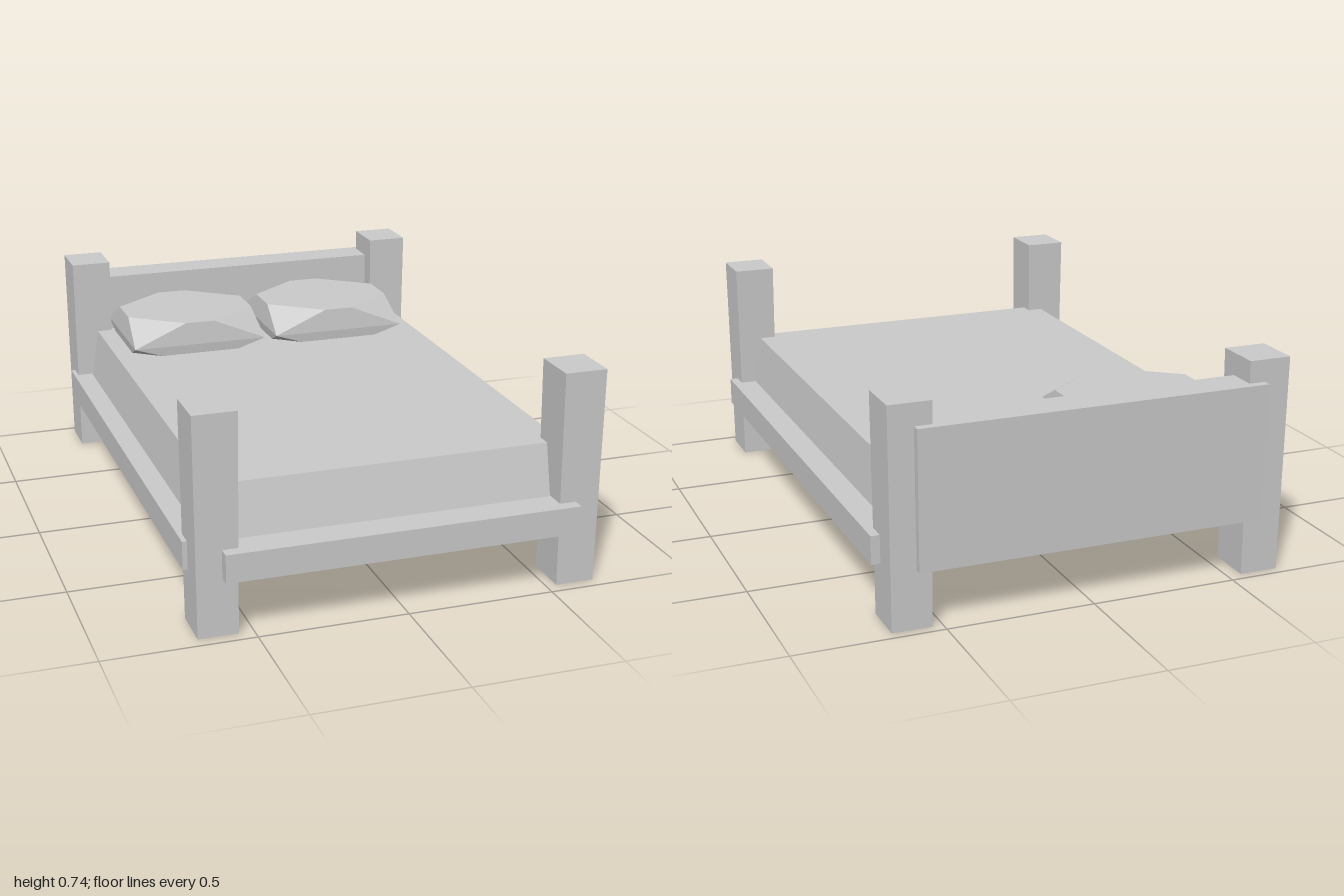
import * as THREE from 'three';
import { ConvexGeometry } from 'three/addons/geometries/ConvexGeometry.js';

const material = new THREE.MeshStandardMaterial({
  color: 0xcccccc, flatShading: true, side: THREE.DoubleSide,
});

// Tapered block without an underside; top and bottom are [x0, x1, z0, z1]
function block(name, y0, y1, bottom, top = bottom) {
  const geometry = new THREE.BoxGeometry(1, 1, 1).toNonIndexed();
  const p = geometry.attributes.position;
  for (let i = 0; i < p.count; i++) {
    const up = p.getY(i) > 0;
    const r = up ? top : bottom;
    p.setXYZ(i, r[p.getX(i) > 0 ? 1 : 0], up ? y1 : y0, r[p.getZ(i) > 0 ? 3 : 2]);
  }
  // Leave out the fourth face (the underside, vertices 18 to 23)
  for (const key of Object.keys(geometry.attributes)) {
    const a = geometry.attributes[key];
    const kept = Array.from(a.array).filter((_, i) => {
      const v = Math.floor(i / a.itemSize);
      return v < 18 || v > 23;
    });
    geometry.setAttribute(key, new THREE.Float32BufferAttribute(kept, a.itemSize));
  }
  geometry.clearGroups();
  geometry.computeVertexNormals();
  const mesh = new THREE.Mesh(geometry, material);
  mesh.name = name;
  return mesh;
}

// Faceted cushion: an octagon above and below, with four pinched corners between
function pillow(name, x, z) {
  const points = [];
  for (const sx of [-1, 1]) {
    for (const sz of [-1, 1]) {
      points.push(new THREE.Vector3(sx * 0.252, 0.497, sz * 0.225));
      for (const y of [0.43, 0.58]) {
        points.push(new THREE.Vector3(sx * 0.054, y, sz * 0.218));
        points.push(new THREE.Vector3(sx * 0.241, y, sz * 0.073));
      }
    }
  }
  const mesh = new THREE.Mesh(new ConvexGeometry(points), material);
  mesh.name = name;
  mesh.position.set(x, 0, z);
  return mesh;
}

export function createModel() {
  const bed = new THREE.Group();
  bed.name = 'bed';

  // Corner posts, slightly wider at the top
  for (const [side, x] of [['Right', -0.616], ['Left', 0.602]]) {
    for (const [end, z] of [['front', 0.88], ['back', -0.89]]) {
      const rect = (w, d) => [x - w, x + w, z - d, z + d];
      bed.add(block(`${end}${side}Post`, 0, 0.735, rect(0.066, 0.077), rect(0.072, 0.082)));
    }
  }

  // Rails and headboard
  bed.add(block('rightRail', 0.195, 0.29, [-0.7, -0.63, -0.875, 0.862]));
  bed.add(block('leftRail', 0.195, 0.29, [0.615, 0.7, -0.875, 0.862]));
  bed.add(block('frontRail', 0.195, 0.29, [-0.6, 0.59, 0.89, 1]));
  bed.add(block('headboard', 0.195, 0.66, [-0.595, 0.585, -0.992, -0.87], [-0.6, 0.59, -1, -0.87]));

  // Mattress, narrowing upwards
  bed.add(block('mattress', 0.195, 0.462, [-0.64, 0.625, -0.88, 0.905], [-0.6, 0.588, -0.83, 0.848]));

  // Pillows
  bed.add(pillow('rightPillow', -0.288, -0.647));
  bed.add(pillow('leftPillow', 0.262, -0.647));

  return bed;
}
